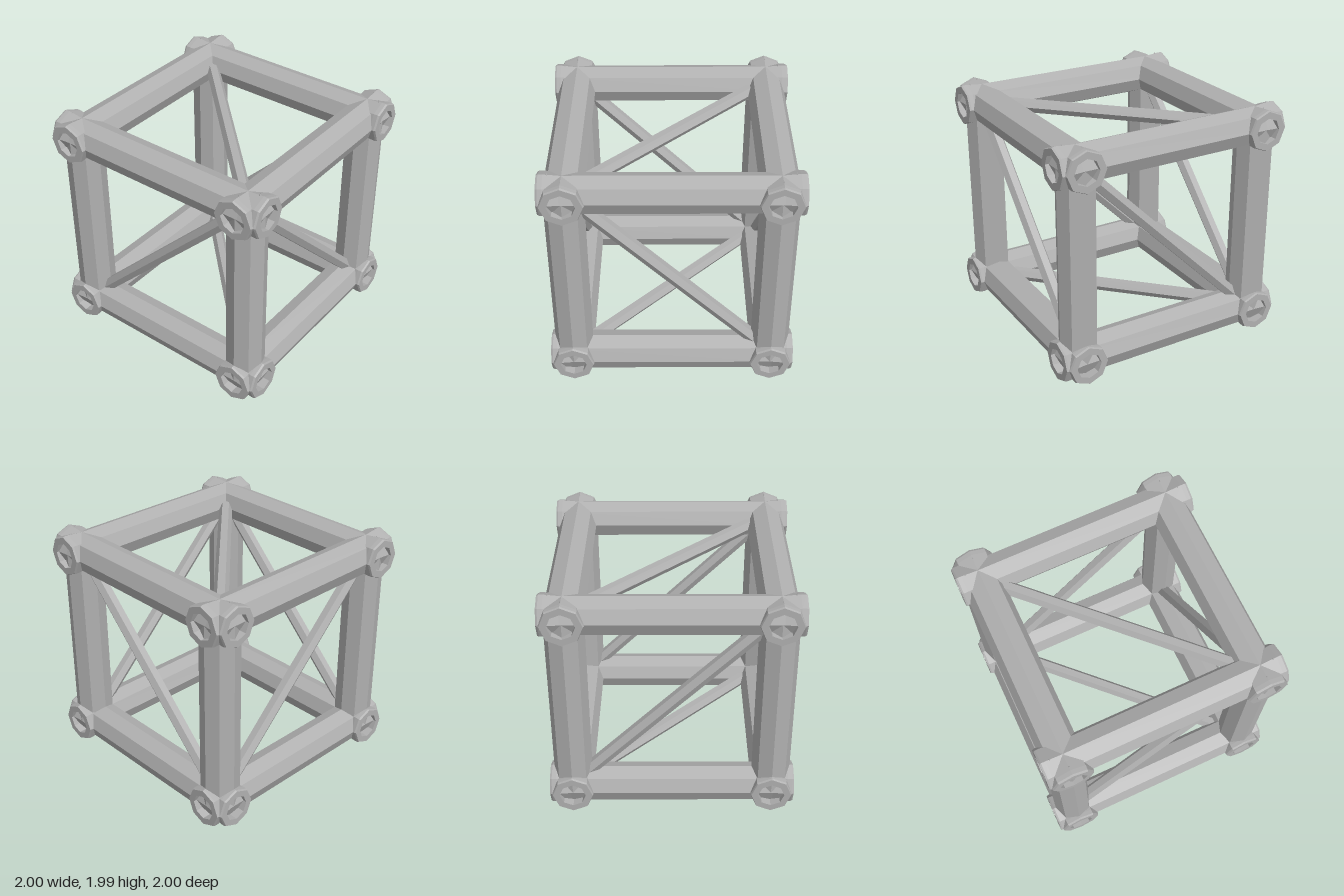
import * as THREE from 'three';

const C = 0.813;   // distance of the beam axes from the centre
const MID = 0.995; // height of the frame's centre
const R = 0.157;   // beam radius

const AXES = {
  x: new THREE.Vector3(1, 0, 0),
  y: new THREE.Vector3(0, 1, 0),
  z: new THREE.Vector3(0, 0, 1),
};

// Faceted geometry: every face gets its own normals
function faceted(geometry) {
  const g = geometry.toNonIndexed();
  g.computeVertexNormals();
  return g;
}

export function createModel() {
  const group = new THREE.Group();
  const steel = new THREE.MeshStandardMaterial({ color: 0xb0b0b0 });
  steel.name = 'grey steel';

  // Place a part whose length runs along its own y
  function add(name, geometry, position, along, side) {
    const mesh = new THREE.Mesh(geometry, steel);
    mesh.name = name;
    if (side) {
      const x = new THREE.Vector3().crossVectors(along, side);
      mesh.quaternion.setFromRotationMatrix(new THREE.Matrix4().makeBasis(x, along, side));
    } else {
      mesh.quaternion.setFromUnitVectors(AXES.y, along);
    }
    mesh.position.copy(position);
    group.add(mesh);
  }

  const longBeam = faceted(new THREE.CylinderGeometry(R, R, 1.76, 8));
  const postBeam = faceted(new THREE.CylinderGeometry(R, R, 2 * C, 8));
  const brace = faceted(new THREE.CylinderGeometry(0.058, 0.058, 2 * C * Math.SQRT2, 6));
  const stud = faceted(new THREE.ConeGeometry(0.01, 0.024, 4));

  // Octagonal open collar, measured from the middle of the beam
  const collar = faceted(new THREE.LatheGeometry([
    [R, 0.83], [0.17, 0.95], [0.17, 0.985], [0.163, 1], [0.107, 1], [0.107, 0.9],
  ].map(([r, y]) => new THREE.Vector2(r, y)), 8));

  for (const a of [-1, 1]) {
    for (const b of [-1, 1]) {
      const xCentre = new THREE.Vector3(0, MID + a * C, b * C);
      const zCentre = new THREE.Vector3(b * C, MID + a * C, 0);

      // Twelve octagonal beams
      add('crossBeam', longBeam, xCentre, AXES.x);
      add('sideBeam', longBeam, zCentre, AXES.z);
      add('cornerPost', postBeam, new THREE.Vector3(a * C, MID, b * C), AXES.y);

      // Collars and small studs at both ends of the horizontal beams
      for (const s of [-1, 1]) {
        for (const [centre, axis] of [[xCentre, AXES.x], [zCentre, AXES.z]]) {
          const out = axis.clone().multiplyScalar(s);
          const up = new THREE.Vector3(0, a, 0);
          const across = new THREE.Vector3().crossVectors(out, AXES.y);
          add('endCollar', collar, centre, out, across);
          const tip = centre.clone().addScaledVector(out, 0.92).addScaledVector(up, 0.17);
          add('collarStud', stud, tip, up, out);
        }
      }
    }

    // One diagonal brace on each of the six faces
    const h = Math.SQRT1_2;
    const rising = new THREE.Vector3(h, h, 0);
    const falling = new THREE.Vector3(0, h, h);
    const level = new THREE.Vector3(h, 0, h);
    add('faceBrace', brace, new THREE.Vector3(0, MID, a * C), rising, AXES.z);
    add('sideBrace', brace, new THREE.Vector3(a * C, MID, 0), falling, AXES.x);
    add('levelBrace', brace, new THREE.Vector3(0, MID + a * C, 0), level,
      new THREE.Vector3(h, 0, -h));
  }
  return group;
}
